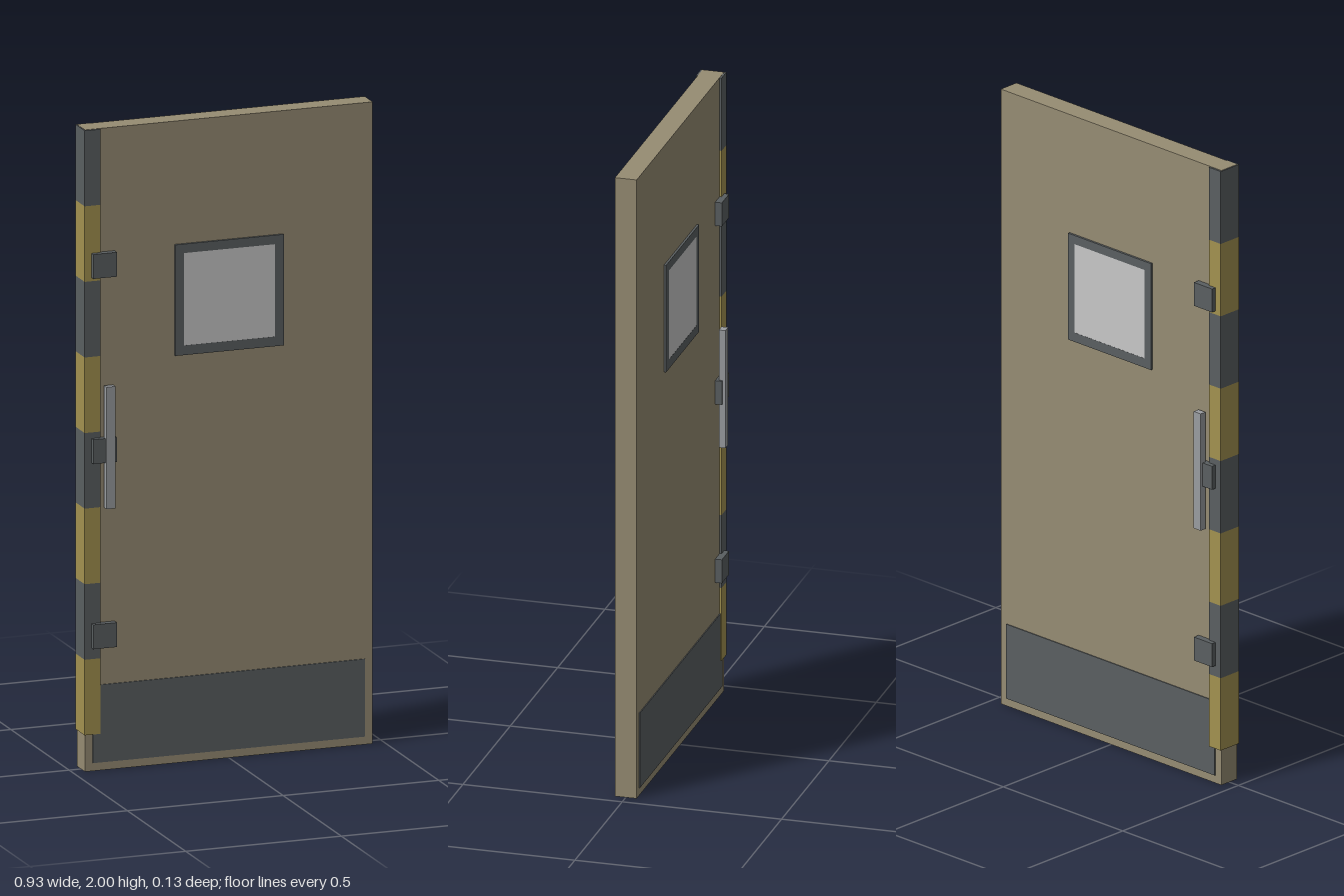
import * as THREE from 'three';

export function createModel() {
  const door = new THREE.Group();
  door.name = 'door';

  const material = (name, color) => {
    const m = new THREE.MeshStandardMaterial({ color });
    m.name = name;
    return m;
  };
  const tan = material('tan paint', 0x968c73);
  const dark = material('dark steel', 0x5a5f61);
  const yellow = material('hazard yellow', 0xa39250);
  const metal = material('brushed metal', 0x9a9da0);
  const glass = material('pale glass', 0xc8c8c8);

  // Box given by its lower and upper limits on each axis
  const box = (name, mat, [x0, x1], [y0, y1], [z0, z1]) => {
    const mesh = new THREE.Mesh(new THREE.BoxGeometry(x1 - x0, y1 - y0, z1 - z0), mat);
    mesh.position.set((x0 + x1) / 2, (y0 + y1) / 2, (z0 + z1) / 2);
    mesh.name = name;
    door.add(mesh);
  };

  // Door leaf
  const face = 0.034;
  box('doorLeaf', tan, [-0.462, 0.462], [0, 2], [-face, face]);

  // Hazard stripes wrapping the latch edge, alternating upward from yellow
  const stripeBase = 0.115, stripeTop = 1.999, stripeCount = 8;
  const stripeHeight = (stripeTop - stripeBase) / stripeCount;
  for (let i = 0; i < stripeCount; i++) {
    const y = stripeBase + i * stripeHeight;
    const mat = i % 2 ? dark : yellow;
    box('stripeEdge', mat, [-0.465, -0.462], [y, y + stripeHeight], [-0.04, 0.04]);
    for (const s of [-1, 1]) {
      const z = [s * face, s * 0.04].sort((a, b) => a - b);
      box('stripeFace', mat, [-0.462, -0.415], [y, y + stripeHeight], z);
    }
  }

  // Fittings repeated on the front and back faces
  for (const s of [1, -1]) {
    const depth = (a, b) => (s > 0 ? [a, b] : [-b, -a]);
    box('kickPlate', dark, [-0.437, 0.437], [0.025, 0.267], depth(face, 0.037));

    // Window frame bars around the pane
    const frame = depth(face, 0.041);
    box('windowFrame', dark, [-0.174, 0.174], [1.588, 1.616], frame);
    box('windowFrame', dark, [-0.174, 0.174], [1.27, 1.3], frame);
    box('windowFrame', dark, [-0.174, -0.146], [1.3, 1.588], frame);
    box('windowFrame', dark, [0.146, 0.174], [1.3, 1.588], frame);
    box('windowPane', glass, [-0.146, 0.146], [1.3, 1.588], depth(face, 0.0405));

    // Latch blocks and the pull handle
    for (const y of [0.423, 1.0, 1.577]) {
      box('latchBlock', dark, [-0.443, -0.367], [y - 0.038, y + 0.038], depth(face, 0.055));
    }
    box('pullHandle', metal, [-0.404, -0.375], [0.82, 1.2], depth(0.043, 0.064));
  }

  return door;
}
